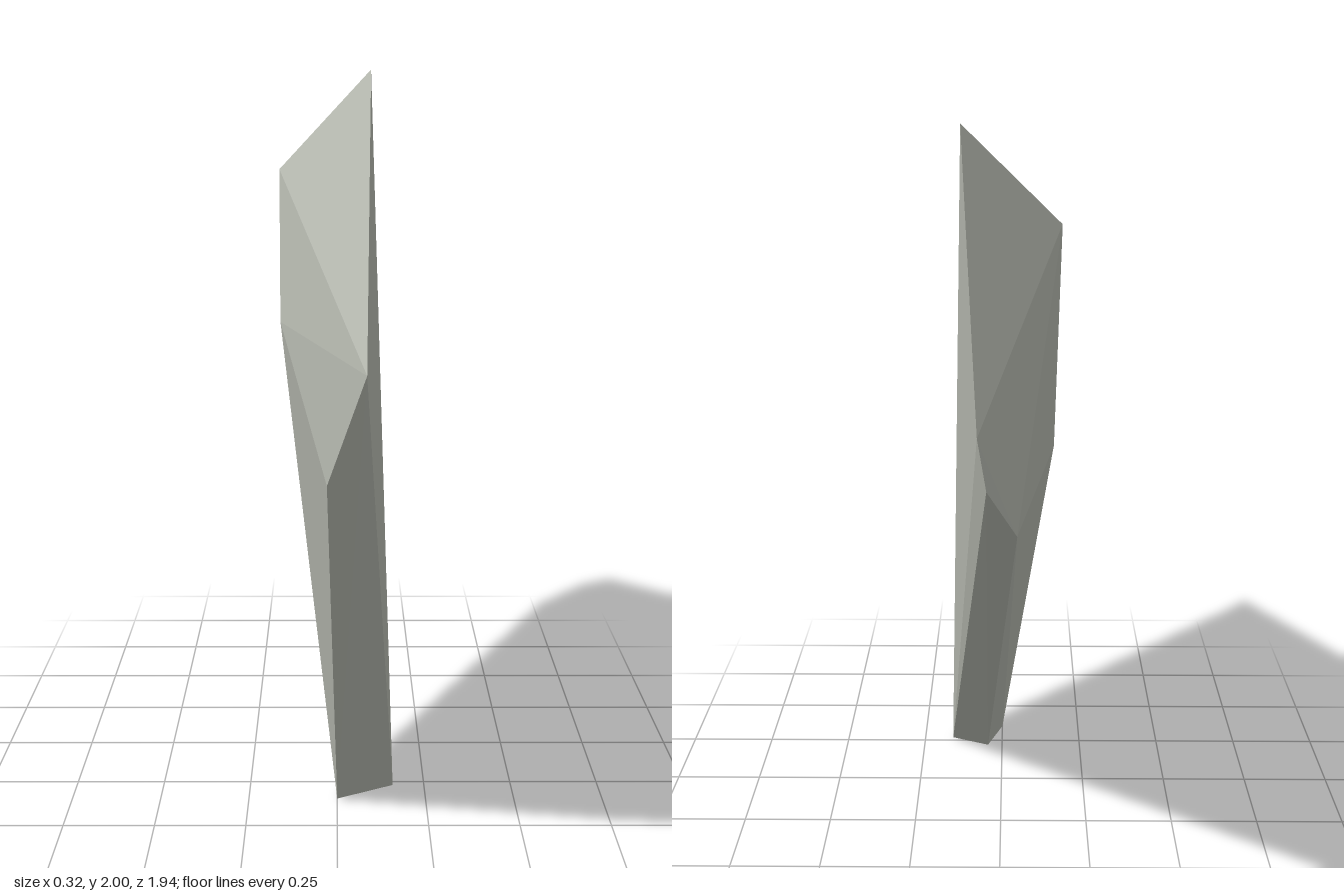
import * as THREE from 'three';

// Corners of the faceted stone shard
const P = {
  rimFront: [0.065, 1.36, 0.97], peak: [0.1, 2.0, -0.31], rimBack: [0.045, 1.37, -0.97],
  tip: [0.16, 0, 0.27], tipFront: [0, 0, 0.35], tipBack: [0.045, 0.01, 0.2],
  crown: [-0.165, 1.725, -0.13], ridge: [-0.15, 1.36, 0.3], belly: [-0.145, 1.14, -0.23],
  sideFront: [-0.025, 1.07, 0.845], sideBack: [-0.045, 1.08, -0.8], rimLow: [0.025, 1.24, -0.95],
};

// Facets by corner name; the winding is fixed below
const STONE = [
  // broad outer side
  'rimFront peak tip', 'peak rimBack tip', 'rimBack rimLow tip',
  // back lower edge and tip
  'rimLow tipBack tip', 'rimLow sideBack tipBack', 'tip tipBack tipFront',
  // front edge
  'tip rimFront tipFront', 'rimFront sideFront tipFront',
  // top bevels
  'rimFront sideFront ridge', 'rimFront ridge crown', 'peak rimFront crown', 'rimBack peak crown',
  // inner side
  'sideFront tipFront ridge', 'crown ridge belly', 'crown belly sideBack',
  'rimBack crown sideBack', 'rimBack sideBack rimLow',
  'belly sideBack tipFront', 'sideBack tipBack tipFront',
];
const VEIN = ['ridge belly tipFront'];

const centre = new THREE.Vector3();
Object.values(P).forEach((p) => centre.add(new THREE.Vector3(...p)));
centre.divideScalar(Object.keys(P).length);

// Builds flat facets, each turned to face away from the centre
function facets(list, name, material) {
  const points = [];
  for (const face of list) {
    const [a, b, c] = face.split(' ').map((k) => new THREE.Vector3(...P[k]));
    const normal = new THREE.Triangle(a, b, c).getNormal(new THREE.Vector3());
    const outward = normal.dot(a.clone().sub(centre)) > 0;
    points.push(a, ...(outward ? [b, c] : [c, b]));
  }
  const geometry = new THREE.BufferGeometry().setFromPoints(points);
  geometry.computeVertexNormals();
  const mesh = new THREE.Mesh(geometry, material);
  mesh.name = name;
  return mesh;
}

export function createModel() {
  const stoneGrey = new THREE.MeshStandardMaterial({ color: 0xaeb1a8, flatShading: true });
  stoneGrey.name = 'stone grey';
  const mauveGrey = new THREE.MeshStandardMaterial({ color: 0x9d93a0, flatShading: true });
  mauveGrey.name = 'mauve grey';

  const group = new THREE.Group();
  group.name = 'stoneShard';
  group.add(facets(STONE, 'stoneBody', stoneGrey), facets(VEIN, 'mauveFacet', mauveGrey));
  return group;
}
